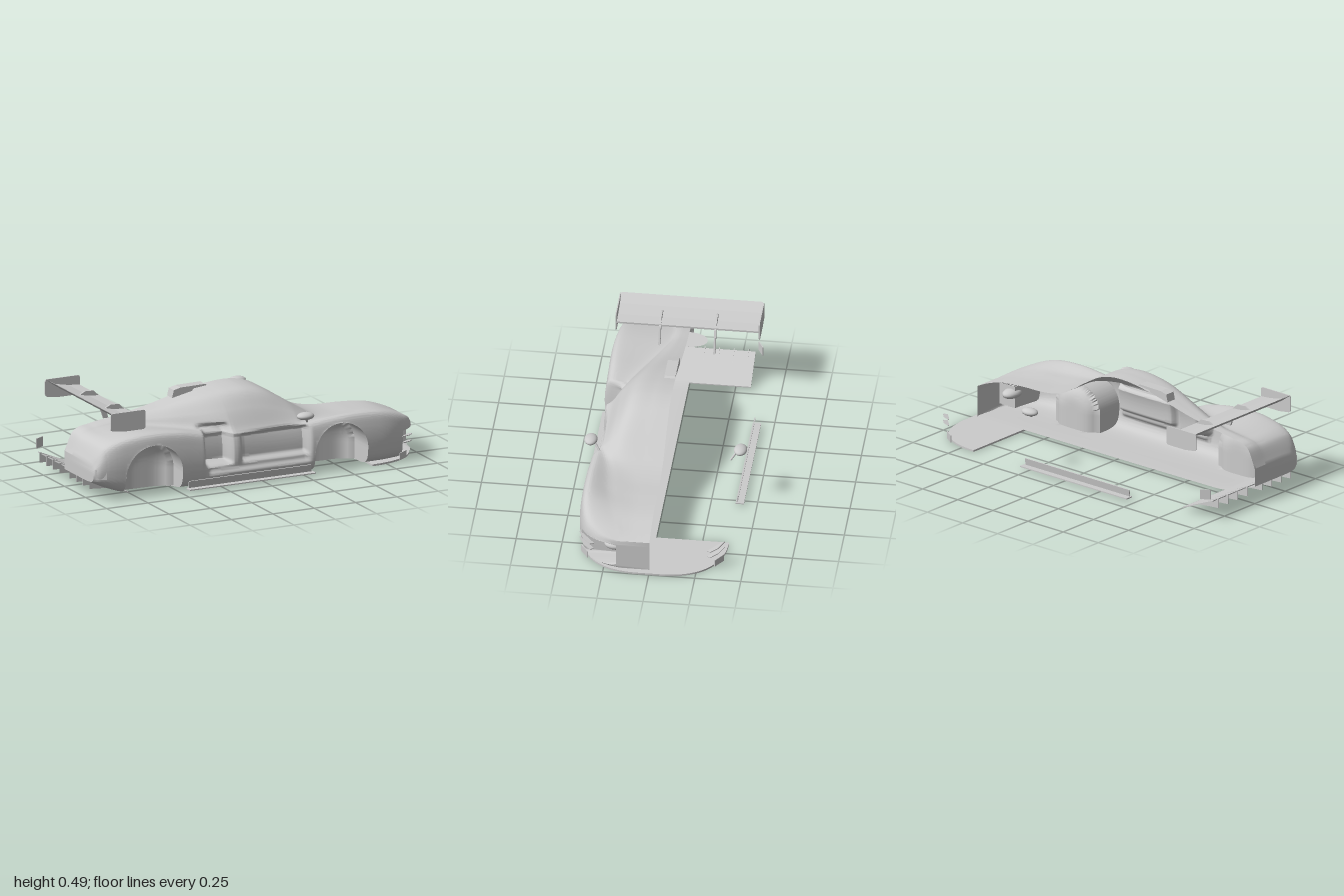
import * as THREE from 'three';
import { toCreasedNormals } from 'three/addons/utils/BufferGeometryUtils.js';

const grey = new THREE.MeshStandardMaterial({ color: 0xcccccc, side: THREE.DoubleSide });
const greyFront = new THREE.MeshStandardMaterial({ color: 0xcccccc });
const { smoothstep, lerp, clamp } = THREE.MathUtils;

// smooth interpolation through [x, value] pairs
function along(table, x) {
  const n = table.length - 1;
  let i = 0;
  while (i < n - 1 && x > table[i + 1][0]) i++;
  const slope = (k) => {
    const a = table[Math.max(k - 1, 0)], b = table[Math.min(k + 1, n)];
    return (b[1] - a[1]) / (b[0] - a[0]);
  };
  const [x0, y0] = table[i], [x1, y1] = table[i + 1], h = x1 - x0;
  const t = clamp((x - x0) / h, 0, 1), t2 = t * t, t3 = t2 * t;
  return y0 * (2 * t3 - 3 * t2 + 1) + slope(i) * h * (t3 - 2 * t2 + t)
    + y1 * (3 * t2 - 2 * t3) + slope(i + 1) * h * (t3 - t2);
}
const band = (v, a, b, s) => smoothstep(v, a, a + s) * (1 - smoothstep(v, b - s, b));

// body lines along x: half width, sill, wing top, deck, centre line, cabin base and roof half widths
const WIDTH = [[-1, 0.345], [-0.97, 0.372], [-0.9, 0.392], [-0.8, 0.402], [-0.65, 0.41], [-0.3, 0.405], [0.1, 0.4], [0.5, 0.41],
  [0.7, 0.408], [0.8, 0.395], [0.88, 0.365], [0.93, 0.32], [0.96, 0.27], [0.972, 0.22]];
const SILL = [[-1, 0.1], [-0.9, 0.06], [-0.8, 0.03], [-0.7, 0.022], [0.97, 0.018]];
const WING_TOP = [[-1, 0.19], [-0.97, 0.25], [-0.94, 0.29], [-0.85, 0.325], [-0.7, 0.345], [-0.5, 0.335], [-0.3, 0.3], [0, 0.28],
  [0.2, 0.277], [0.4, 0.297], [0.55, 0.307], [0.7, 0.3], [0.8, 0.275], [0.9, 0.23], [0.95, 0.202], [0.972, 0.187]];
const DECK = [[-1, 0.2], [-0.95, 0.295], [-0.85, 0.325], [-0.7, 0.335], [-0.5, 0.325], [-0.3, 0.31], [0, 0.3],
  [0.3, 0.287], [0.6, 0.278], [0.75, 0.27], [0.9, 0.228], [0.972, 0.189]];
const CENTRE = [[-1, 0.2], [-0.95, 0.303], [-0.85, 0.335], [-0.7, 0.357], [-0.5, 0.395], [-0.3, 0.445], [-0.2, 0.465], [-0.1, 0.478],
  [0, 0.478], [0.1, 0.455], [0.2, 0.4], [0.3, 0.335], [0.38, 0.293], [0.5, 0.27], [0.65, 0.265], [0.8, 0.252], [0.9, 0.222], [0.972, 0.19]];
const CABIN = [[-1, 0.1], [-0.75, 0.09], [-0.6, 0.15], [-0.4, 0.25], [-0.2, 0.335], [0, 0.355], [0.2, 0.35], [0.4, 0.3], [0.7, 0.25], [0.972, 0.16]];
const ROOF = [[-1, 0.05], [-0.75, 0.05], [-0.6, 0.08], [-0.4, 0.14], [-0.2, 0.19], [0.1, 0.215], [0.3, 0.23], [0.5, 0.15], [0.972, 0.1]];
// wheel wells: centre x, centre y, radius, inner z
const WELLS = [[0.47, 0.11, 0.158, 0.2], [-0.66, 0.115, 0.17, 0.25]];

// recesses pressed into the plain section surface
function press(p) {
  // domed wheel wells, with the rim of the opening snapped to a clean arc
  for (const [cx, cy, r, inner] of WELLS) {
    const dx = p.x - cx, dy = Math.max(p.y - cy, 0), d = Math.hypot(dx, dy);
    if (d >= r) continue;
    const floor = inner + 0.07 * (d / r) ** 4;
    if (p.z < floor) continue;
    if (d < r - 0.01) p.z = floor;
    if (d > r - 0.022) {
      p.x = cx + dx * r / d;
      if (dy > 0) p.y = cy + dy * r / d;
    }
  }
  // door panel and side intake
  let dent = 0.02 * band(p.x, -0.35, 0.3, 0.04) * band(p.y, 0.07, 0.29, 0.03);
  dent += 0.035 * band(p.x, -0.13, 0.29, 0.03) * band(p.y, 0.11, 0.28, 0.03);
  dent += 0.075 * band(p.x, -0.36, -0.16, 0.045) * band(p.y, 0.11, 0.34, 0.03);
  p.z -= dent * clamp((p.z - 0.25) / 0.11, 0, 1);
  // open front corner duct
  if (p.x > 0.858 && p.z > 0.18) {
    for (const edge of [0.03, 0.17]) if (Math.abs(p.y - edge) < 0.006) p.y = edge;
    if (p.y > 0.0301 && p.y < 0.1699) p.z = 0.18;
  }
  return p;
}

function bodyGeometry() {
  const pos = [], index = [], columns = 230, rows = 132;
  const V = (y, z) => new THREE.Vector3(0, y, z);
  for (let i = -1; i <= columns + 1; i++) {
    const x = lerp(-1, 0.972, clamp(i / columns, 0, 1));
    const w = along(WIDTH, x), b = along(SILL, x), f = along(WING_TOP, x), d = along(DECK, x);
    const top = along(CENTRE, x), cb = Math.min(along(CABIN, x), w - 0.06), ct = along(ROOF, x);
    const edge = lerp(d, top, 0.92);
    const section = new THREE.CatmullRomCurve3([
      V(b, 0), V(b, w - 0.05), V(lerp(b, f, 0.1), w - 0.015), V(lerp(b, f, 0.4), w), V(lerp(b, f, 0.75), w - 0.004),
      V(f - 0.014, w - 0.02), V(f, w - 0.042), V(d, cb),
      V(lerp(d, edge, 0.55), lerp(cb, ct, 0.45)), V(edge, ct), V(top, ct * 0.45), V(top, 0)]);
    for (let j = 0; j <= rows; j++) {
      const p = section.getPoint(j / rows);
      p.x = x;
      press(p);
      if (i < 0 || i > columns) p.z = 0; // end caps
      pos.push(p.x, p.y, Math.max(p.z, 0));
    }
  }
  const n = rows + 1;
  for (let i = 0; i < columns + 2; i++) for (let j = 0; j < rows; j++) {
    const a = i * n + j, c = a + n;
    index.push(a, c, a + 1, c, c + 1, a + 1);
  }
  const g = new THREE.BufferGeometry();
  g.setAttribute('position', new THREE.Float32BufferAttribute(pos, 3));
  g.setIndex(index);
  return toCreasedNormals(g, 0.8);
}

export function createModel() {
  const car = new THREE.Group();
  car.name = 'raceCar';
  const add = (name, geometry, x = 0, y = 0, z = 0, material = grey) => {
    const m = new THREE.Mesh(geometry, material);
    m.name = name;
    m.position.set(x, y, z);
    car.add(m);
    return m;
  };
  const outline = (pts) => new THREE.Shape(pts.map(([x, y]) => new THREE.Vector2(x, y)));
  // side outline in x and y, given a thickness in z
  const plate = (name, pts, z, depth) => add(name, new THREE.ExtrudeGeometry(outline(pts),
    { depth, bevelEnabled: false }), 0, 0, z - depth / 2);

  add('bodyHalf', bodyGeometry());
  add('noseDuct', new THREE.SphereGeometry(1, 20, 12), 0.89, 0.115, 0.19).scale.set(0.045, 0.028, 0.065);

  // front splitter with rounded corners
  const s = new THREE.Shape();
  s.moveTo(0.66, -0.395);
  s.bezierCurveTo(0.86, -0.395, 1, -0.29, 1, -0.06);
  s.lineTo(1, 0.06);
  s.bezierCurveTo(1, 0.29, 0.86, 0.395, 0.66, 0.395);
  add('frontSplitter', new THREE.ExtrudeGeometry(s, { depth: 0.01, bevelEnabled: false, curveSegments: 24 }),
    0, 0.01).rotation.x = Math.PI / 2;

  // rear wing
  plate('rearWing', [[-0.715, 0.428], [-0.78, 0.43], [-0.86, 0.448], [-0.915, 0.488], [-0.918, 0.492],
    [-0.86, 0.459], [-0.78, 0.443], [-0.715, 0.438]], 0, 0.77);

  // diffuser and its fins
  plate('diffuser', [[-0.78, 0.018], [-0.99, 0.105], [-0.99, 0.11], [-0.78, 0.024]], 0, 0.67);
  for (let k = -4; k <= 4; k++) {
    if (k === 0) continue;
    plate('diffuserFin', [[-0.84, 0.045], [-0.93, 0.055], [-1, 0.06], [-1, 0.116], [-0.985, 0.112]],
      Math.sign(k) * (0.06 + 0.079 * (Math.abs(k) - 1)), 0.004);
  }

  for (const side of [1, -1]) {
    // wing end plates and swan neck struts
    const e = new THREE.Shape();
    e.moveTo(-0.905, 0.49);
    e.lineTo(-0.725, 0.49);
    e.quadraticCurveTo(-0.71, 0.49, -0.71, 0.475);
    e.lineTo(-0.71, 0.4);
    e.quadraticCurveTo(-0.71, 0.383, -0.727, 0.383);
    e.lineTo(-0.84, 0.383);
    e.lineTo(-0.905, 0.392);
    e.quadraticCurveTo(-0.92, 0.395, -0.92, 0.41);
    e.lineTo(-0.92, 0.475);
    e.quadraticCurveTo(-0.92, 0.49, -0.905, 0.49);
    add('wingEndPlate', new THREE.ExtrudeGeometry(e, { depth: 0.006, bevelEnabled: false }), 0, 0, side * 0.389 - 0.003);
    plate('wingStrut', [[-0.83, 0.455], [-0.8, 0.47], [-0.75, 0.468], [-0.71, 0.43], [-0.685, 0.37], [-0.66, 0.305],
      [-0.69, 0.305], [-0.71, 0.36], [-0.735, 0.41], [-0.76, 0.435]], side * 0.15, 0.01);

    // side skirt: flange and upright
    add('sideSkirt', new THREE.BoxGeometry(0.76, 0.006, 0.045), -0.08, 0.016, side * 0.408);
    const upright = add('sideSkirtUpright', new THREE.BoxGeometry(0.74, 0.042, 0.006), -0.08, 0.037, side * 0.395);
    upright.rotation.x = side * 0.15;

    // door mirror on a stalk
    add('mirror', new THREE.SphereGeometry(1, 24, 16), 0.25, 0.336, side * 0.406).scale.set(0.05, 0.021, 0.036);
    add('mirrorStalk', new THREE.TubeGeometry(new THREE.LineCurve3(new THREE.Vector3(0.26, 0.325, side * 0.385),
      new THREE.Vector3(0.285, 0.288, side * 0.355)), 1, 0.006, 8));

    // dive planes at the front corners, rising outwards
    for (const y of [0.045, 0.08]) {
      const c = outline([[0.84, 0.4], [0.85, 0.38], [0.92, 0.31], [0.935, 0.33], [0.9, 0.37]]);
      const plane = add('divePlane', new THREE.ExtrudeGeometry(c, { depth: 0.004, bevelEnabled: false }), 0, y, 0);
      plane.rotation.x = Math.PI / 2 - side * 0.16;
      plane.scale.y = side;
    }
    // splitter fences and rear corner flicks
    const fence = add('splitterFence', new THREE.BoxGeometry(0.075, 0.04, 0.005), 0.86, 0.03, side * 0.365);
    fence.rotation.y = side * 0.6;
    const flick = add('rearFlick', new THREE.BoxGeometry(0.06, 0.055, 0.005), -0.965, 0.15, side * 0.367);
    flick.rotation.y = side * -0.5;
  }

  // roof scoop on the centre line
  plate('roofScoop', [[-0.38, 0.43], [-0.37, 0.472], [-0.33, 0.482], [-0.18, 0.484], [-0.17, 0.476], [-0.25, 0.468], [-0.26, 0.455]], 0.03, 0.06);

  // forward facing oval panel with a filler ring, below the wing
  const oval = add('ovalPanel', new THREE.CircleGeometry(1, 32), -0.79, 0.301, 0, greyFront);
  const ring = add('fillerRing', new THREE.RingGeometry(0.018, 0.028, 24), -0.785, 0.309, -0.033, greyFront);
  oval.scale.set(0.1, 0.04, 1);
  for (const m of [oval, ring]) m.rotation.set(-0.75, Math.PI / 2, 0, 'YXZ');
  return car;
}
